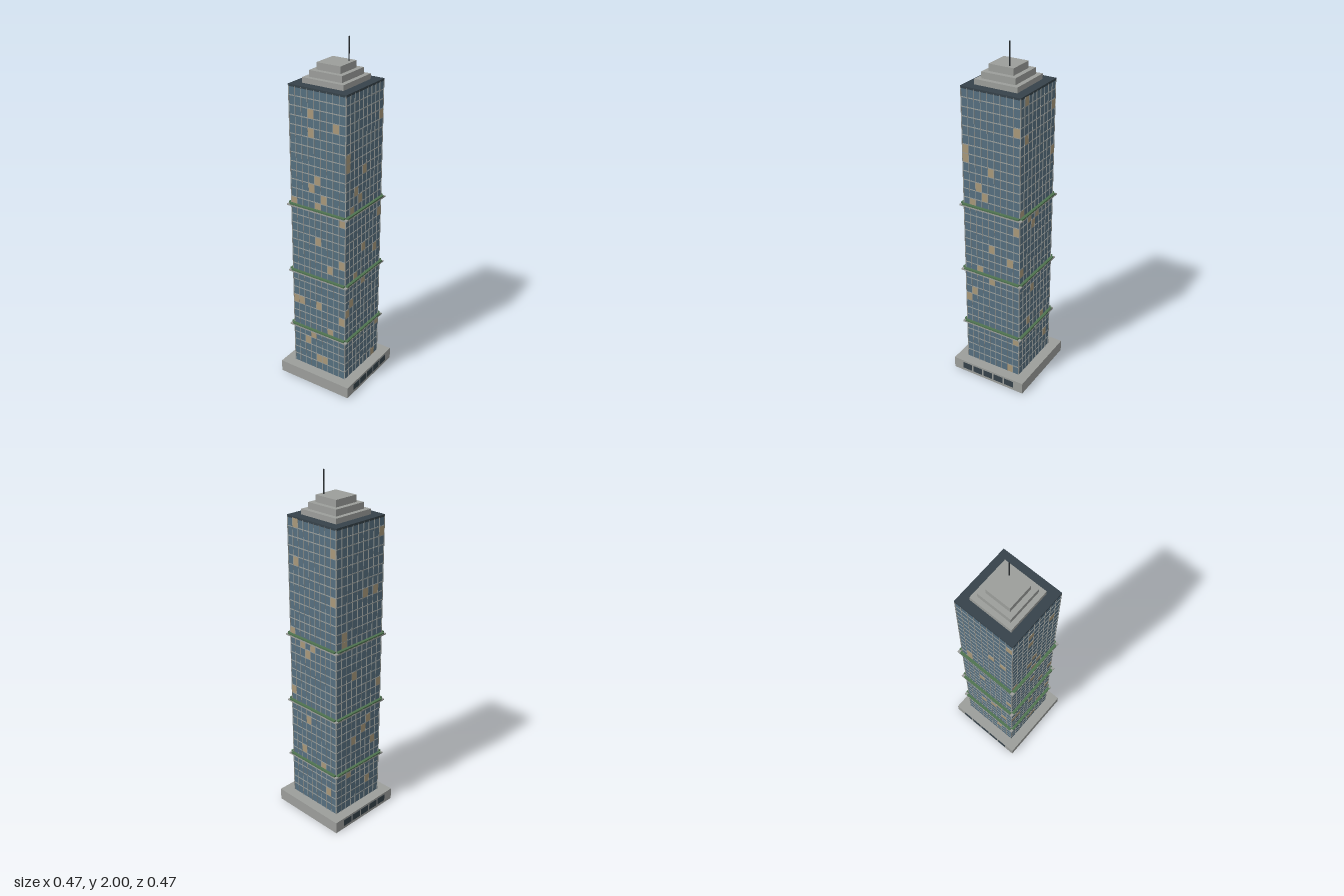
import * as THREE from 'three';
import { mergeGeometries } from 'three/addons/utils/BufferGeometryUtils.js';

const paint = (name, color) => {
  const m = new THREE.MeshStandardMaterial({ color });
  m.name = name;
  return m;
};

const BASE_TOP = 0.07, ROOF = 1.765, FLOORS = 33, COLS = 9;
const HALF = 0.175; // half width of the glass shaft
const FLOOR_H = (ROOF - BASE_TOP) / FLOORS, COL_W = (2 * HALF) / COLS;
const floorY = (r) => BASE_TOP + r * FLOOR_H;
const colX = (c) => -HALF + c * COL_W;

// Box geometry placed by its bottom centre
const block = (w, h, d, x, y, z) => new THREE.BoxGeometry(w, h, d).translate(x, y + h / 2, z);

// Lit windows as [column, floor], columns counted from the left as seen facing each side
const LIT = {
  front: [[3, 30], [7, 29], [3, 28], [4, 23], [3, 22], [5, 21], [0, 20], [4, 20], [8, 19], [4, 16],
    [8, 14], [6, 13], [0, 8], [1, 8], [4, 8], [8, 7], [6, 5], [3, 4], [2, 3], [4, 1], [5, 1]],
  right: [[8, 29], [0, 26], [0, 25], [4, 24], [2, 22], [3, 21], [1, 20], [8, 18], [4, 15], [7, 14],
    [2, 12], [4, 11], [1, 9], [0, 8], [8, 4], [7, 0]],
  back: [[1, 32], [8, 30], [1, 28], [8, 25], [0, 20], [2, 19], [4, 19], [3, 18], [0, 13],
    [3, 10], [2, 6], [6, 5], [7, 2]],
  left: [[8, 31], [5, 25], [7, 25], [1, 21], [1, 20], [3, 16], [8, 14], [6, 10], [5, 9], [3, 8],
    [7, 7], [2, 4], [6, 2]],
};

export function createModel() {
  const concrete = paint('concrete', 0x9c9e9b);
  const glass = paint('blue glass', 0x566f7f);
  const trim = paint('facade trim', 0x979c9a);
  const lit = paint('lit window', 0xa8987a);
  const dark = paint('dark slate', 0x36424a);
  const green = paint('planting', 0x4f7350);
  const metal = paint('antenna metal', 0x2b3033);

  const tower = new THREE.Group();
  tower.name = 'skyscraper';
  const add = (name, material, ...geometries) => {
    const mesh = new THREE.Mesh(mergeGeometries(geometries), material);
    mesh.name = name;
    tower.add(mesh);
  };

  // Podium with a row of shopfronts on both x sides
  add('podium', concrete, block(0.47, BASE_TOP, 0.47, 0, 0, 0));
  const shops = [];
  for (const side of [-1, 1])
    for (let i = -2; i <= 2; i++) shops.push(block(0.004, 0.04, 0.06, side * 0.235, 0.018, i * 0.0715));
  add('shopfronts', dark, ...shops);

  // Glass shaft and floor edges
  add('glassShaft', glass, block(2 * HALF, ROOF - BASE_TOP, 2 * HALF, 0, BASE_TOP, 0));
  const edges = [];
  for (let r = 1; r < FLOORS; r++) edges.push(block(0.354, 0.005, 0.354, 0, floorY(r) - 0.0025, 0));
  add('floorEdges', trim, ...edges);

  // Mullions and lit windows, one side at a time
  const mullions = [], windows = [];
  Object.values(LIT).forEach((cells, side) => {
    const turn = (g) => g.rotateY((side * Math.PI) / 2);
    for (let c = 0; c <= COLS; c++)
      mullions.push(turn(block(0.003, ROOF - BASE_TOP, 0.006, colX(c), BASE_TOP, HALF)));
    for (const [c, r] of cells)
      windows.push(turn(block(COL_W - 0.002, FLOOR_H - 0.004, 0.005, colX(c + 0.5), floorY(r) + 0.002, HALF)));
  });
  add('mullions', trim, ...mullions);
  add('litWindows', lit, ...windows);

  // Planted terraces: a ledge with a hedge along each side, corners left open
  const ledges = [], hedges = [];
  for (const r of [5, 12, 20]) {
    const y = floorY(r);
    ledges.push(block(0.388, 0.008, 0.388, 0, y - 0.002, 0));
    for (let s = 0; s < 4; s++)
      hedges.push(block(0.354, 0.008, 0.016, 0, y + 0.006, 0.1855).rotateY((s * Math.PI) / 2));
  }
  add('terraceLedges', concrete, ...ledges);
  add('terraceHedges', green, ...hedges);

  // Roof slab, stepped crown and offset antenna
  add('roofSlab', dark, block(0.355, 0.012, 0.355, 0, ROOF - 0.006, 0));
  const tiers = [[0.252, 1.771, 1.8], [0.2, 1.8, 1.835], [0.146, 1.835, 1.873]];
  add('steppedCrown', concrete, ...tiers.map(([w, y0, y1]) => block(w, y1 - y0, w, 0, y0, 0)));
  add('antenna', metal, block(0.005, 0.127, 0.005, 0.051, 1.873, -0.036));

  return tower;
}
